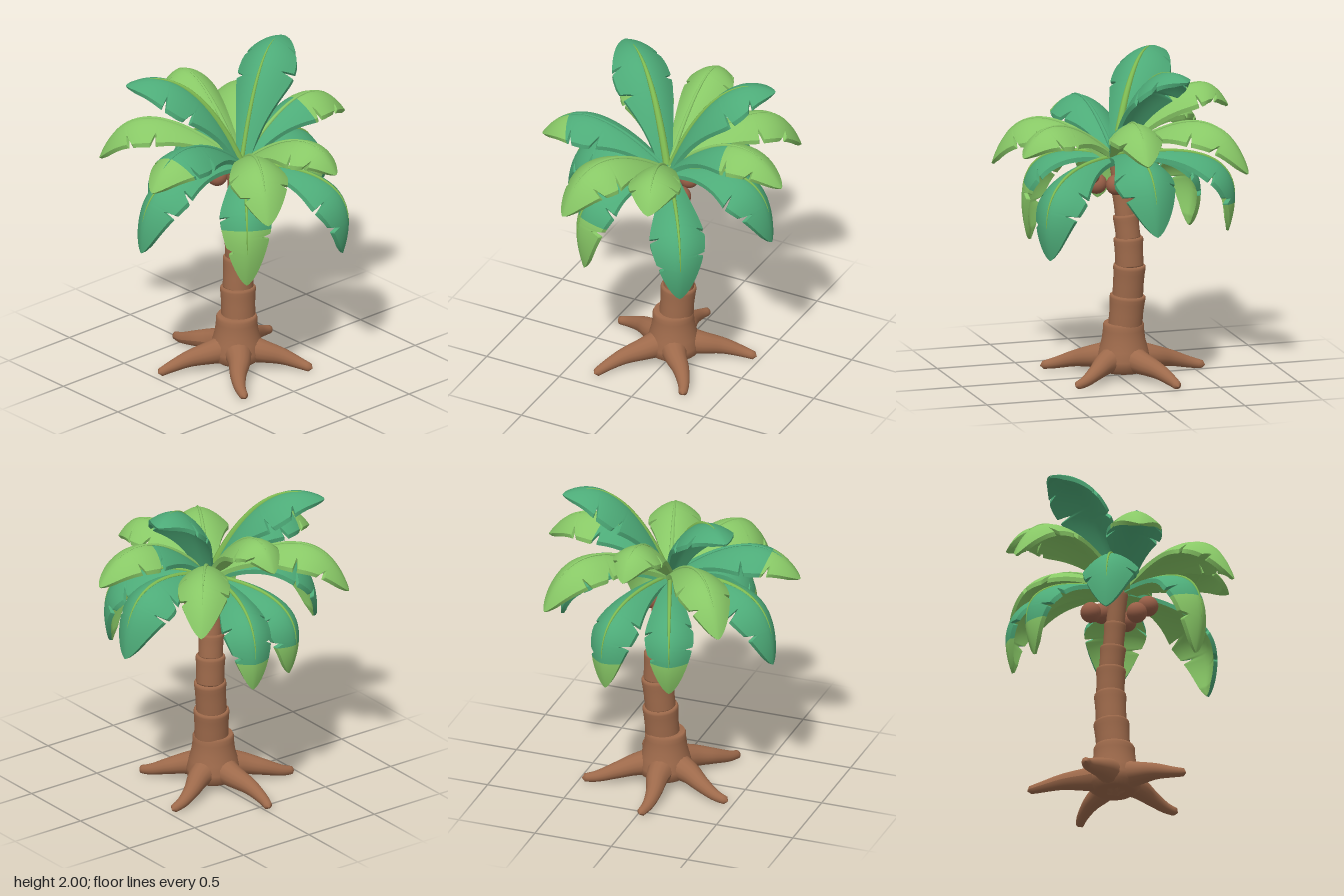
import * as THREE from 'three';
import { mergeGeometries } from 'three/addons/utils/BufferGeometryUtils.js';

const V = (x, y, z) => new THREE.Vector3(x, y, z);
const paint = (name, color) => {
  const m = new THREE.MeshStandardMaterial({ color });
  m.name = name;
  return m;
};

// Smooth surface patch from a function f(u, v) -> Vector3, facing du x dv.
function grid(f, nu, nv) {
  const pos = [], idx = [];
  for (let i = 0; i <= nu; i++)
    for (let j = 0; j <= nv; j++) pos.push(...f(i / nu, j / nv).toArray());
  for (let i = 0; i < nu; i++)
    for (let j = 0; j < nv; j++) {
      const a = i * (nv + 1) + j, b = a + nv + 1;
      idx.push(a, b, a + 1, b, b + 1, a + 1);
    }
  const g = new THREE.BufferGeometry();
  g.setAttribute('position', new THREE.Float32BufferAttribute(pos, 3));
  g.setIndex(idx);
  g.computeVertexNormals();
  return g;
}

// Round tapering limb along a curve, kept above the ground.
function sweep(points, radius, nu, nv) {
  const curve = new THREE.CatmullRomCurve3(points);
  const { normals, binormals } = curve.computeFrenetFrames(nu, false);
  return grid((u, v) => {
    const i = Math.round(u * nu), a = -v * Math.PI * 2, r = radius(u);
    const p = curve.getPointAt(u)
      .addScaledVector(normals[i], r * Math.cos(a))
      .addScaledVector(binormals[i], r * Math.sin(a));
    p.y = Math.max(p.y, 0);
    return p;
  }, nu, nv);
}

// Leaf half-width along its length: rounded tip, a few slanted cuts on each edge.
function leafWidth(t, side, shift) {
  const w = t < 0.5
    ? THREE.MathUtils.lerp(0.25, 1, THREE.MathUtils.smoothstep(t, -0.05, 0.5))
    : Math.pow(Math.max(0, 1 - Math.pow((t - 0.5) / 0.5, 2.4)), 0.7);
  const cuts = side > 0 ? [0.5, 0.78] : [0.42, 0.68];
  let k = 1;
  for (const c of cuts) {
    const d = t - c - shift;
    k -= 0.36 * Math.max(0, d > 0 ? 1 - d / 0.032 : 1 + d / 0.014);
  }
  return Math.max(0.004, w * k);
}

export function createModel() {
  const bark = paint('bark brown', 0x9e6a4b);
  const shell = paint('coconut brown', 0x9a6048);
  const dark = paint('deep leaf green', 0x4dab78);
  const light = paint('light leaf green', 0x88c866);
  const lime = paint('leaf rib green', 0x7fbc52);

  const model = new THREE.Group();
  model.name = 'palmTree';
  const add = (name, geometry, material, parent = model) => {
    const mesh = new THREE.Mesh(geometry, material);
    mesh.name = name;
    parent.add(mesh);
    return mesh;
  };

  // Flared foot of the trunk
  const foot = [[0, 0.03], [0.12, 0.03], [0.16, 0.06], [0.165, 0.11], [0.15, 0.17], [0.134, 0.23], [0.127, 0.29], [0.127, 0.32], [0.118, 0.337], [0, 0.337]];
  add('trunkFoot', new THREE.LatheGeometry(foot.map(p => new THREE.Vector2(...p)), 32), bark)
    .position.set(0.01, 0, -0.035);

  // Stacked trunk rings, each flaring to a rounded lip
  const ring = [[0, 0], [0.92, 0], [0.95, 0.05], [0.94, 0.4], [0.97, 0.75], [1, 0.9], [0.98, 0.97], [0.92, 1], [0, 1.01]]
    .map(p => new THREE.Vector2(...p));
  const joints = [
    [0.028, 0.32, -0.04, 0.111], [0.037, 0.505, -0.053, 0.1], [0.053, 0.7, -0.06, 0.092],
    [0.046, 0.87, -0.055, 0.08], [0.03, 1.01, -0.042, 0.068], [0.01, 1.16, -0.03, 0.06], [-0.02, 1.36, -0.01, 0]
  ];
  for (let i = 0; i < joints.length - 1; i++) {
    const [x, y, z, r] = joints[i], a = V(x, y, z), b = V(...joints[i + 1].slice(0, 3));
    const mesh = add('trunkRing', new THREE.LatheGeometry(ring, 28), bark);
    const axis = b.clone().sub(a);
    mesh.scale.set(r, axis.length() + 0.008, r);
    mesh.quaternion.setFromUnitVectors(V(0, 1, 0), axis.normalize());
    mesh.position.copy(a);
  }

  // Spreading roots
  const roots = [[0.28, 0.36], [-0.31, 0.4], [0.48, -0.24], [-0.47, -0.22], [-0.02, -0.57]];
  roots.forEach(([x, z], i) => {
    const bend = i % 2 ? 0.04 : -0.04;
    const at = (f, y, b) => V(x * f - z * b, y, -0.03 * (1 - f) + z * f + x * b);
    const path = [at(0, 0.13, 0), at(0.35, 0.105, 0), at(0.6, 0.075, bend), at(0.83, 0.038, bend), at(1, 0.018, 0)];
    const radius = u => (u > 0.985 ? 0 : THREE.MathUtils.lerp(0.12, 0.024, Math.pow(u, 0.62)));
    add('root', sweep(path, radius, 28, 14), bark);
  });

  // Coconuts
  const nuts = [[-0.03, 1.27, 0.17], [-0.11, 1.19, 0.1], [0.1, 1.225, 0.04], [0.08, 1.27, -0.11], [-0.02, 1.23, -0.18]];
  for (const p of nuts) add('coconut', new THREE.SphereGeometry(0.064, 24, 16), shell).position.set(...p);

  // Fronds: tip, midway reach and height, half-width, upper colour, tip colour, where it starts, underside, rib
  const fronds = [
    [[-0.54, 1.91, -0.44], 0.47, 1.88, 0.18, dark, dark, 0.5, dark, lime],
    [[0.6, 1.96, -0.26], 0.47, 1.91, 0.18, dark, dark, 0.5, dark, lime],
    [[0.04, 1.66, -0.7], 0.62, 1.8, 0.15, light, light, 0.5, light, light],
    [[0.57, 1.35, -0.66], 0.64, 1.65, 0.16, light, light, 0.5, light, light],
    [[-0.57, 1.36, -0.65], 0.64, 1.65, 0.16, light, light, 0.5, light, light],
    [[-0.82, 1.46, 0.11], 0.6, 1.65, 0.17, dark, light, 0.7, dark, dark],
    [[0.81, 1.5, 0.06], 0.58, 1.7, 0.16, dark, light, 0.45, light, light],
    [[-0.38, 1.3, 0.69], 0.64, 1.6, 0.18, light, light, 0.5, light, light],
    [[0.2, 1.46, 0.67], 0.62, 1.63, 0.16, light, light, 0.5, light, light],
    [[0.36, 0.84, 0.55], 0.9, 1.28, 0.17, dark, dark, 0.5, light, lime],
    [[0.69, 1.02, -0.04], 0.76, 1.43, 0.19, dark, dark, 0.5, light, lime],
    [[-0.72, 0.95, -0.1], 0.78, 1.38, 0.17, dark, dark, 0.5, light, lime],
    [[-0.35, 0.81, 0.46], 0.93, 1.3, 0.16, dark, light, 0.66, light, lime],
    [[-0.2, 0.86, -0.53], 0.95, 1.28, 0.15, dark, light, 0.8, light, lime],
    [[0.17, 0.9, -0.66], 0.9, 1.34, 0.15, dark, light, 0.84, light, lime]
  ];
  fronds.forEach(([tip, reach, height, width, upper, end, split, under, rib], n) => {
    const frond = new THREE.Group();
    frond.name = 'frond';
    model.add(frond);

    // Arching spine through the midway point
    const a = V(0, 1.38, 0.02), c = V(...tip);
    const mid = a.clone().lerp(c, reach).setY(height);
    const spine = new THREE.QuadraticBezierCurve3(a, mid.multiplyScalar(2).addScaledVector(a, -0.5).addScaledVector(c, -0.5), c);
    const side = V(a.z - c.z, 0, c.x - a.x).normalize();
    const shift = ((n * 7) % 5 - 2) * 0.018;

    // Point on the blade: t along, s across (-1..1), depth 0 on top and 1 below
    const blade = (t, s, depth) => {
      const x = s * width * leafWidth(t, s, shift);
      const normal = side.clone().cross(spine.getTangent(t));
      const sag = 0.5 * x * x / width + 0.12 * Math.abs(x);
      const thick = 0.036 * (1 - 0.2 * s * s) * Math.min(1, (1.05 - t) * 10);
      return spine.getPoint(t).addScaledVector(side, x).addScaledVector(normal, -sag - depth * thick);
    };
    for (const [t0, t1, material] of [[0, split, upper], [split, 1, end]]) {
      const rows = Math.ceil((t1 - t0) * 120), at = u => t0 + (t1 - t0) * u;
      const top = mergeGeometries([
        grid((u, v) => blade(at(u), 1 - 2 * v, 0), rows, 10),
        grid((u, v) => blade(at(u), 1, 1 - v), rows, 1),
        grid((u, v) => blade(at(u), -1, v), rows, 1)
      ]);
      add('leafTop', top, material, frond);
    }
    add('leafUnderside', grid((u, v) => blade(u, 2 * v - 1, 1), 120, 10), under, frond);

    // Raised midrib, boldest on the first frond
    const line = Array.from({ length: 9 }, (_, i) => blade(0.02 + i * 0.105, 0, 0));
    const girth = n === 0 ? 0.024 : 0.014;
    add('leafRib', sweep(line, u => girth * (1 - u * u), 28, 8), rib, frond);
  });
  return model;
}
